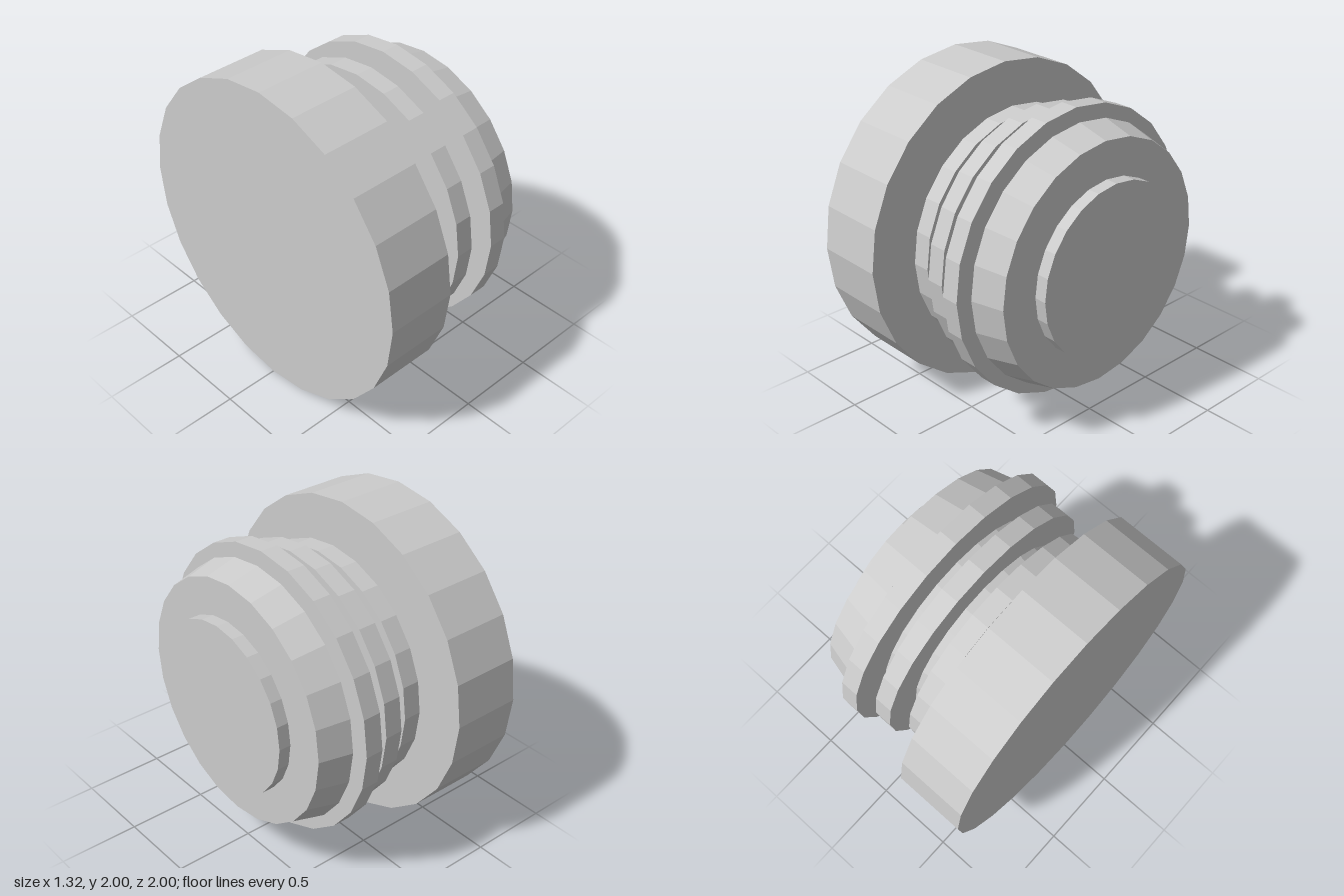
import * as THREE from 'three';

const SIDES = 24;

export function createModel() {
  const model = new THREE.Group();
  const material = new THREE.MeshStandardMaterial({ color: 0xcccccc, flatShading: true });

  // Turned section lying along x, from x0 (radius r0) to x1 (radius r1)
  function section(name, x0, x1, r0, r1 = r0) {
    const geometry = new THREE.CylinderGeometry(r1, r0, x1 - x0, SIDES);
    geometry.rotateZ(-Math.PI / 2);
    const mesh = new THREE.Mesh(geometry, material);
    mesh.name = name;
    mesh.position.set((x0 + x1) / 2, 1, 0);
    model.add(mesh);
  }

  section('baseDisc', -0.66, -0.225, 1);
  section('neck', -0.225, -0.2, 0.31);
  section('taperedCore', -0.2, 0.375, 0.55, 0.665);

  // Ribs growing towards the head
  for (let i = 0; i < 3; i++) {
    const x = -0.165 + i * 0.201;
    section('rib' + (i + 1), x, x + 0.112, 0.75 + i * 0.065);
  }

  section('head', 0.375, 0.572, 0.8, 0.75);
  section('endCap', 0.585, 0.66, 0.53);

  return model;
}
